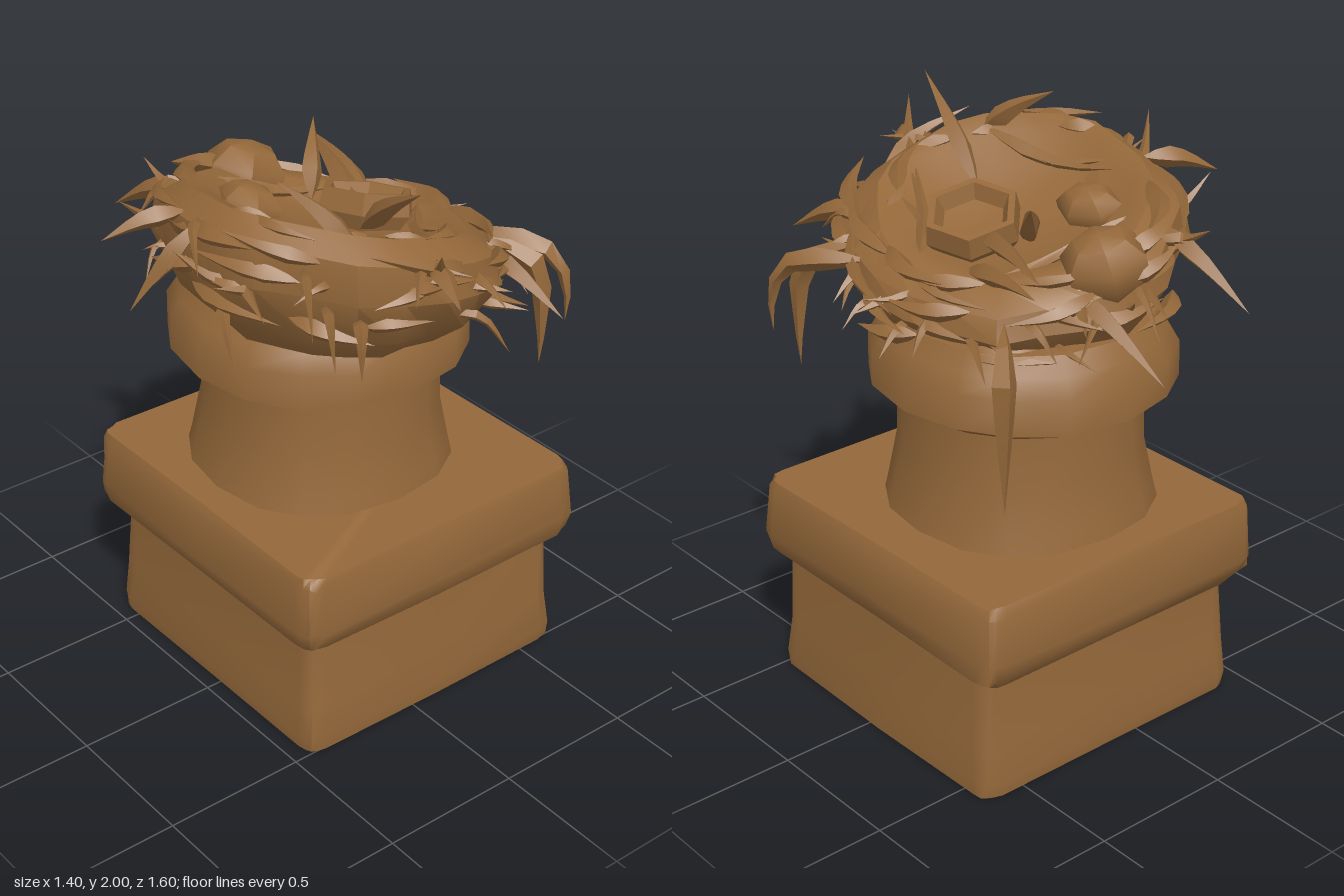
import * as THREE from 'three';
import { toCreasedNormals } from 'three/addons/utils/BufferGeometryUtils.js';

export function createModel() {
  const model = new THREE.Group();
  model.name = 'nestOnChimney';
  const clay = new THREE.MeshStandardMaterial({ color: 0x94683a });
  clay.name = 'brown clay';

  let seed = 7;
  const rand = (lo, hi) => {
    seed = (seed * 16807) % 2147483647;
    return lo + (hi - lo) * (seed / 2147483647);
  };
  const add = (name, geometry, parent = model) => {
    const mesh = new THREE.Mesh(geometry, clay);
    mesh.name = name;
    parent.add(mesh);
    return mesh;
  };

  // Stacked sections [y, half width] round a centre; n sets squareness, depth is relative to width
  function loft(cx, cz, depth, n, sections, sides, wobble) {
    const pos = [], idx = [];
    const bend = (v) => Math.sign(v) * Math.abs(v) ** (2 / n);
    sections.forEach(([y, w], s) => {
      const edge = s === 0 || s === sections.length - 1;
      for (let i = 0; i < sides; i++) {
        const a = (i / sides) * Math.PI * 2, r = w * (1 - rand(0, wobble));
        pos.push(cx + r * bend(Math.cos(a)),
          y + (edge ? 0 : rand(-wobble, wobble) * 0.35),
          cz + r * depth * bend(Math.sin(a)));
        if (s > 0) {
          const j = (i + 1) % sides, p = (s - 1) * sides, q = s * sides;
          idx.push(p + i, q + i, p + j, p + j, q + i, q + j);
        }
      }
    });
    const top = (sections.length - 1) * sides;
    for (let i = 1; i < sides - 1; i++) idx.push(0, i, i + 1, top, top + i + 1, top + i);
    const g = new THREE.BufferGeometry();
    g.setAttribute('position', new THREE.Float32BufferAttribute(pos, 3));
    g.setIndex(idx);
    return toCreasedNormals(g, 0.75);
  }

  // Square plinth and its heavier cap block
  add('plinth', loft(0.105, -0.05, 1.02, 20,
    [[0, 0.555], [0.05, 0.56], [0.18, 0.545], [0.44, 0.535]], 24, 0.015));
  add('capBlock', loft(0.1, -0.055, 1.04, 20,
    [[0.42, 0.545], [0.47, 0.59], [0.53, 0.6], [0.7, 0.59], [0.73, 0.575]], 24, 0.02));

  // Round neck flaring at the foot, with a thick collar
  add('neck', loft(0.075, -0.1, 1, 2.3,
    [[0.71, 0.445], [0.78, 0.43], [0.95, 0.395], [1.17, 0.39]], 16, 0.01));
  add('collar', loft(0.065, -0.1, 1.03, 2.2,
    [[1.13, 0.405], [1.18, 0.495], [1.3, 0.49], [1.36, 0.455], [1.42, 0.42]], 16, 0.015));

  // Sloping nest: t is the height fraction between its under and upper planes
  const nest = new THREE.Group();
  nest.name = 'nest';
  model.add(nest);
  const place = (x, z, t) => new THREE.Vector3(x,
    THREE.MathUtils.lerp(1.36 - 0.07 * x + 0.04 * z, 1.74 - 0.3 * x + 0.12 * z, t), z);
  const polar = (a, r, t) => place(r * Math.cos(a), r * 1.15 * Math.sin(a) + 0.03, t);
  const profile = (points) => points.map(([r, y]) => new THREE.Vector2(r, y));

  const bowl = new THREE.LatheGeometry(profile([
    [0, 0], [0.36, 0], [0.46, 0.22], [0.52, 0.55], [0.5, 0.82],
    [0.42, 0.98], [0.35, 0.94], [0.28, 0.8], [0, 0.76],
  ]), 22);
  const bp = bowl.attributes.position;
  for (let i = 0; i < bp.count; i++) {
    const a = Math.atan2(bp.getZ(i), bp.getX(i)), r = Math.hypot(bp.getX(i), bp.getZ(i));
    const bump = 1 + 0.025 * Math.sin(a * 7) + 0.02 * Math.sin(a * 11 + bp.getY(i) * 5);
    const p = polar(a, r * bump, bp.getY(i));
    bp.setXYZ(i, p.x, p.y, p.z);
  }
  add('nestBowl', toCreasedNormals(bowl, 0.6), nest);

  // Twig: four-sided tube tapering at both ends
  function twig(name, points, radius, blunt = 1.6) {
    const curve = new THREE.CatmullRomCurve3(points), segs = 6;
    const g = new THREE.TubeGeometry(curve, segs, radius, 4);
    const p = g.attributes.position, v = new THREE.Vector3();
    for (let i = 0; i < p.count; i++) {
      const u = Math.floor(i / 5) / segs;
      const k = Math.min(1, u * 4, (1 - u) * blunt);
      v.fromBufferAttribute(p, i);
      v.lerpVectors(curve.getPointAt(u), v, k);
      p.setXYZ(i, v.x, v.y, v.z);
    }
    add(name, toCreasedNormals(g, 0.5), nest);
  }

  // Twigs woven round the wall and over the rim
  for (let i = 0; i < 44; i++) {
    const a = i * 2.4, span = rand(0.4, 0.85) * (i % 2 ? 1 : -1);
    const onRim = i % 3 === 0;
    const r = onRim ? rand(0.36, 0.47) : rand(0.49, 0.53);
    const t = onRim ? 0.96 : rand(0.3, 0.85), end = t + rand(-0.2, 0.15);
    twig('wovenTwig', [polar(a, r - 0.03, t), polar(a + span / 2, r + 0.01, (t + end) / 2),
      polar(a + span, r + 0.03, end)], rand(0.022, 0.04));
  }

  // Short spikes sticking out of the wall
  for (let i = 0; i < 46; i++) {
    const a = i * 2.4 + 0.5, t = rand(0.3, 0.85), lean = rand(-0.3, 0.3);
    const reach = rand(0.57, 0.64), end = t + rand(-0.35, 0.2);
    twig('spike', [polar(a, 0.45, t), polar(a + lean / 2, 0.53, t), polar(a + lean, reach, end)],
      rand(0.018, 0.032), 1.2);
  }

  // Twigs lying across the floor
  for (let i = 0; i < 9; i++) {
    const a = i * 2.1, b = a + rand(0.8, 1.6);
    twig('floorTwig', [polar(a, 0.38, 0.95), polar((a + b) / 2, 0.27, 0.84), polar(b, 0.38, 0.95)], 0.025);
  }

  // Long loose sticks, each from a root (x, z) in the nest to its tip
  const stick = (x, z, tipX, tipY, tipZ) => {
    const root = place(x, z, 0.85), tip = new THREE.Vector3(tipX, tipY, tipZ);
    const middle = root.clone().lerp(tip, 0.5);
    middle.y += 0.02;
    twig('looseStick', [root, middle, tip], 0.038);
  };
  stick(0, 0.2, -0.09, 2, 0.59);
  stick(-0.2, 0.45, -0.33, 1.97, 0.2);
  stick(0.08, -0.15, 0.23, 1.84, -0.33);
  stick(0.15, 0.02, 0.36, 1.69, -0.52);
  stick(-0.24, -0.4, -0.28, 1.5, -0.78);
  stick(0.15, -0.4, 0.11, 1.38, -0.81);
  stick(-0.45, -0.1, -0.7, 1.72, -0.21);
  stick(-0.46, 0, -0.68, 1.51, -0.1);
  stick(0.3, 0.42, 0.36, 1.5, 0.76);
  stick(-0.05, 0.6, -0.1, 1.7, 0.79);
  stick(0.3, -0.1, 0.4, 1.66, -0.55);

  // Drooping ends: out over the edge, then hanging down
  const droop = (x, z, tipX, tipY, tipZ) => {
    const root = place(x, z, 0.8);
    const drop = (f) => new THREE.Vector3(tipX, THREE.MathUtils.lerp(root.y, tipY, f), tipZ);
    const shoulder = drop(0.2).lerp(root, 0.15);
    twig('droopingTwig', [root, shoulder, drop(0.6), drop(1)], 0.042);
  };
  droop(0.45, 0.2, 0.64, 1.28, 0.49);
  droop(0.42, 0.3, 0.55, 1.14, 0.47);
  droop(0.38, -0.38, 0.49, 0.95, -0.51);

  // Two whole eggs and one open shell
  const egg = (x, z, t, r, stretch) => {
    const m = add('egg', toCreasedNormals(new THREE.SphereGeometry(r, 6, 5), 0.8), nest);
    m.position.copy(place(x, z, t));
    m.scale.set(1, 0.8, stretch);
    m.rotation.z = -0.3;
  };
  egg(0.03, -0.45, 0.9, 0.15, 1);
  egg(-0.17, -0.16, 0.82, 0.1, 1.3);
  const shell = add('openShell', toCreasedNormals(new THREE.LatheGeometry(profile([
    [0, -0.09], [0.11, -0.07], [0.17, 0.02], [0.16, 0.09], [0.135, 0.09], [0.11, 0.04], [0, 0.02],
  ]), 6), 0.5), nest);
  shell.position.copy(place(0.15, 0.04, 0.84));
  shell.rotation.set(-0.1, 0.3, -0.28);

  return model;
}
